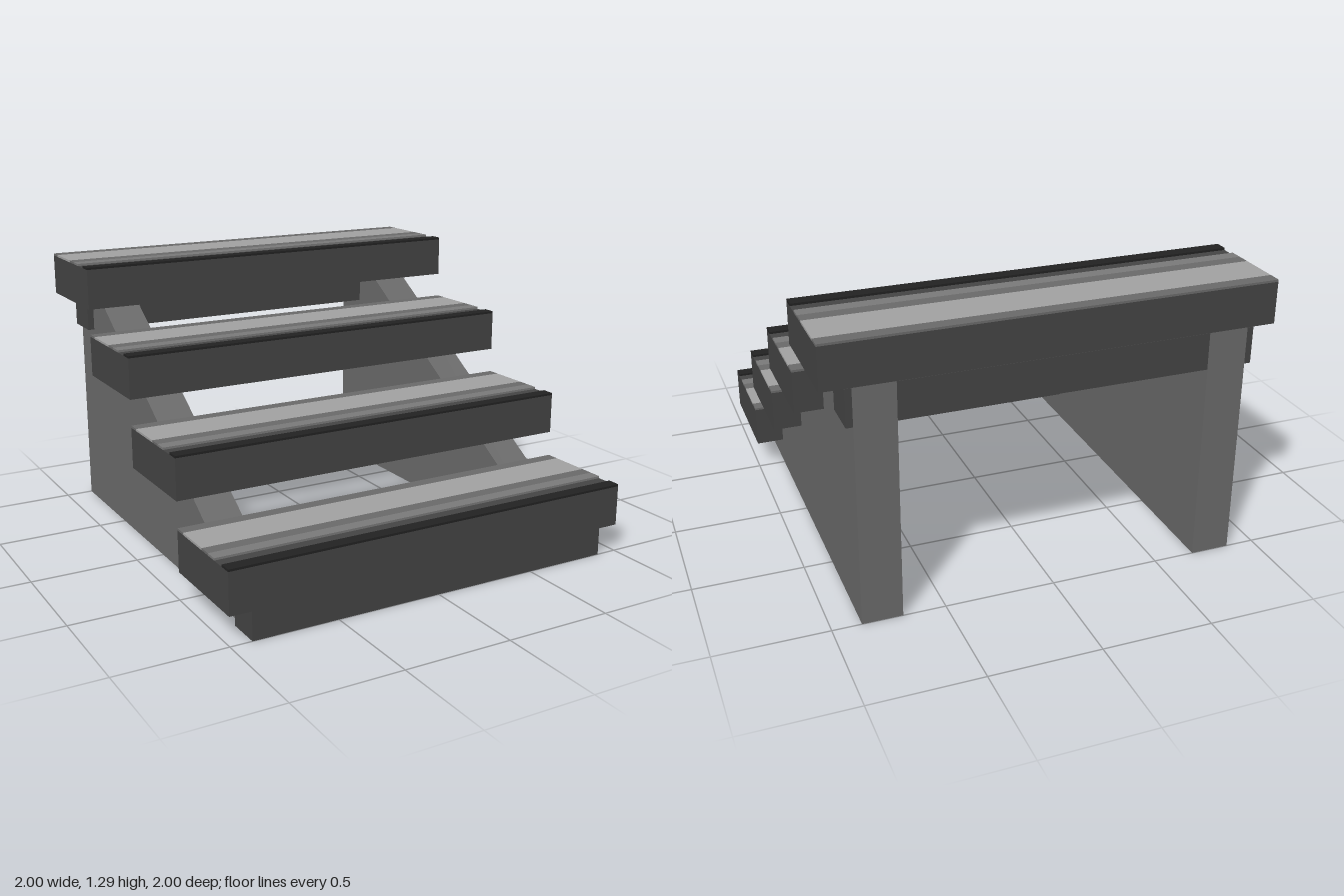
import * as THREE from 'three';

const paint = (color) => new THREE.MeshStandardMaterial({ color });
const timber = paint(0x444444);
const sideGrey = paint(0x6a6a6a);

// Strips along each tread: distance from the nose, width, material
const strips = [
  ['nosingStrip', 0, 0.06, paint(0x222222)],
  ['gripStrip', 0.13, 0.06, paint(0x7a7a7a)],
  ['darkStrip', 0.19, 0.06, paint(0x6a6a6a)],
  ['walkingStrip', 0.25, 0.19, paint(0xa2a2a2)],
  ['rearStrip', 0.44, 0.06, paint(0x6a6a6a)],
];

// Box given by its width and its y and z limits, centred on x
function board(name, width, y0, y1, z0, z1, material) {
  const mesh = new THREE.Mesh(new THREE.BoxGeometry(width, y1 - y0, z1 - z0), material);
  mesh.name = name;
  mesh.position.set(0, (y0 + y1) / 2, (z0 + z1) / 2);
  return mesh;
}

// One step: a solid beam with thin strips laid on top
function createTread() {
  const tread = new THREE.Group();
  tread.name = 'tread';
  tread.add(board('treadBeam', 2, 0, 0.19, -0.5, 0, timber));
  for (const [name, start, width, material] of strips) {
    tread.add(board(name, 2, 0.19, 0.2, -start - width, -start, material));
  }
  return tread;
}

// Sloping side panel, drawn in (z, y) and extruded along x
function createStringer(x) {
  const outline = new THREE.Shape([
    [-1, 0], [0.84, 0], [0.84, 0.1], [-0.7, 1.09], [-1, 1.09],
  ].map(([z, y]) => new THREE.Vector2(-z, y)));
  const geometry = new THREE.ExtrudeGeometry(outline, { depth: 0.18, bevelEnabled: false });
  geometry.translate(0, 0, -0.09).rotateY(Math.PI / 2);
  const mesh = new THREE.Mesh(geometry, sideGrey);
  mesh.name = 'stringer';
  mesh.position.x = x;
  return mesh;
}

export function createModel() {
  const model = new THREE.Group();
  model.name = 'steps';

  for (let i = 0; i < 4; i++) {
    const tread = createTread();
    tread.position.set(0, 0.13 + 0.32 * i, 1 - 0.5 * i);
    model.add(tread);
  }
  for (const side of [-1, 1]) model.add(createStringer(side * 0.78));

  // Cross boards at the foot and under the top step
  model.add(board('footBoard', 1.8, 0, 0.13, 0.84, 1, timber));
  model.add(board('rearRail', 1.8, 0.92, 1.088, -0.998, -0.82, timber));
  return model;
}
